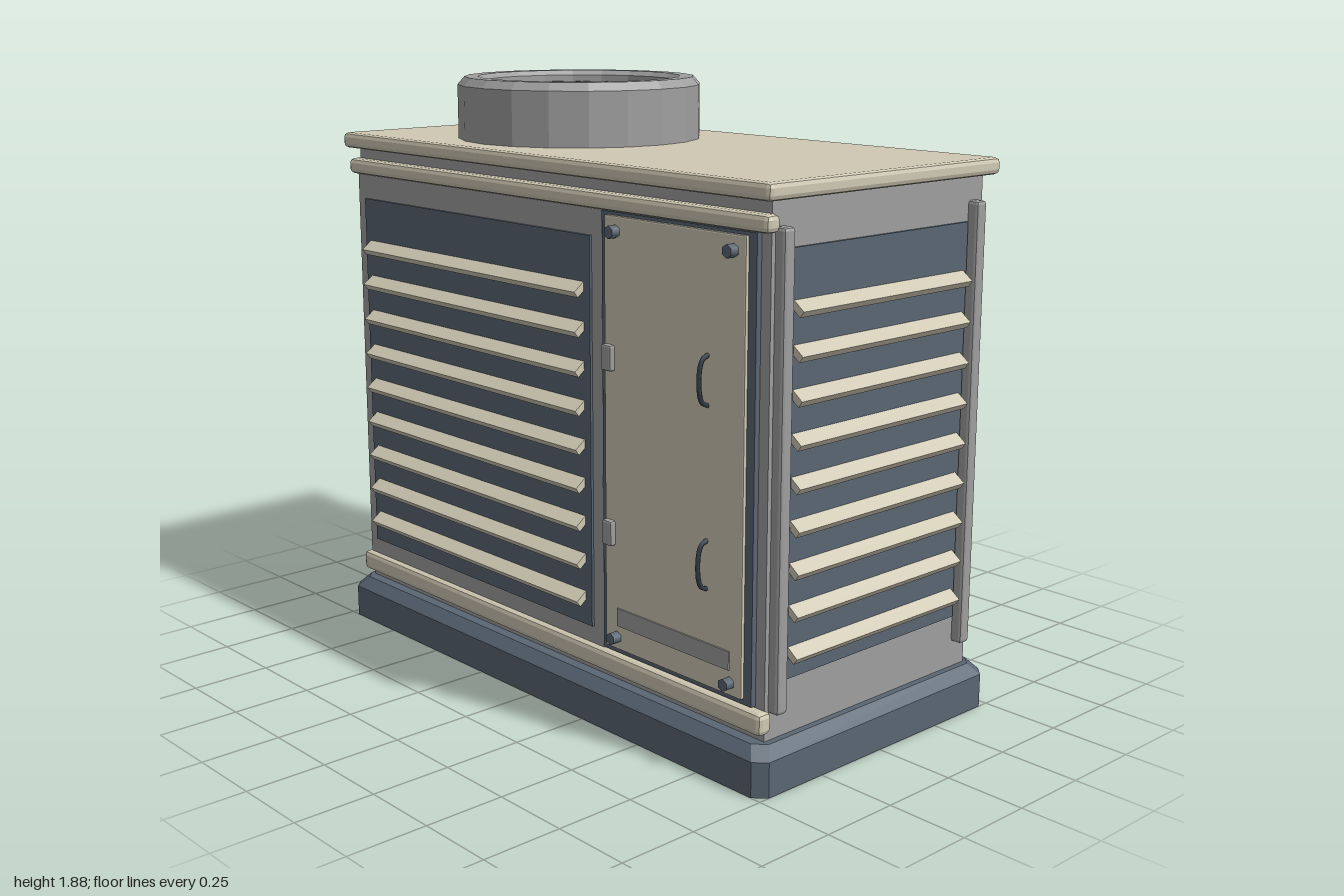
import * as THREE from 'three';
import { RoundedBoxGeometry } from 'three/addons/geometries/RoundedBoxGeometry.js';

const mat = (name, color) => Object.assign(new THREE.MeshStandardMaterial({ color }), { name });

export function createModel() {
  const model = new THREE.Group();
  model.name = 'outdoorCoolingUnit';
  const cream = mat('cream paint', 0xcfc8b3);
  const grey = mat('grey metal', 0x9f9f9f);
  const slate = mat('slate metal', 0x596673);
  const dark = mat('dark steel', 0x363e47);

  const add = (name, geo, material, x = 0, y = 0, z = 0, parent = model) => {
    const m = new THREE.Mesh(geo, material);
    m.name = name;
    m.position.set(x, y, z);
    parent.add(m);
    return m;
  };
  // Box given by its limits, with optional chamfered edges
  const box = (name, material, [x0, x1], [y0, y1], [z0, z1], chamfer = 0, parent = model) => {
    const s = [x1 - x0, y1 - y0, z1 - z0];
    let geo = new THREE.BoxGeometry(...s);
    if (chamfer) {
      geo = new RoundedBoxGeometry(...s, 1, chamfer);
      if (geo.index) geo = geo.toNonIndexed();
      geo.computeVertexNormals();
    }
    return add(name, geo, material, (x0 + x1) / 2, (y0 + y1) / 2, (z0 + z1) / 2, parent);
  };

  // Hollow plinth: a profile of [inset, height] swept around a cut-corner rectangle
  const plinth = (hx, hz, cut, profile) => {
    const ring = ([inset, y]) => {
      const x = hx - inset, z = hz - inset, c = cut;
      return [[c - x, z], [x - c, z], [x, z - c], [x, c - z], [x - c, -z], [c - x, -z], [-x, c - z], [-x, z - c]]
        .map(([px, pz]) => [px, y, pz]);
    };
    const rings = profile.map(ring), pos = [];
    for (let j = 0; j < rings.length - 1; j++) {
      for (let i = 0; i < 8; i++) {
        const k = (i + 1) % 8;
        const a = rings[j][i], b = rings[j][k], c = rings[j + 1][k], d = rings[j + 1][i];
        pos.push(...a, ...b, ...c, ...a, ...c, ...d);
      }
    }
    const geo = new THREE.BufferGeometry();
    geo.setAttribute('position', new THREE.Float32BufferAttribute(pos, 3));
    geo.computeVertexNormals();
    return geo;
  };
  add('base', plinth(1, 0.5, 0.035, [[0.11, 0.14], [0.11, 0.03], [0.08, 0], [0, 0], [0, 0.105], [0.03, 0.14], [0.11, 0.14]]), slate);

  // Cabinet, roof and front rails
  box('cabinet', grey, [-0.95, 0.95], [0.135, 1.64], [-0.44, 0.435]);
  box('roof', cream, [-0.985, 0.985], [1.635, 1.685], [-0.48, 0.48], 0.015);
  box('lowerRail', cream, [-0.965, 0.965], [0.165, 0.23], [0.42, 0.47], 0.015);
  box('upperRail', cream, [-0.97, 0.97], [1.55, 1.6], [0.42, 0.47], 0.015);
  for (const sx of [-1, 1]) for (const sz of [-1, 1]) {
    const x = sx * 0.962, z = sz * 0.4;
    box('cornerPost', grey, [x - 0.023, x + 0.023], [0.22, 1.565], [z - 0.021, z + 0.021], 0.01);
  }

  // Slanted louver blades on a dark panel, facing +z, centred on x
  const louvers = (name, width, bladeWidth, y0, y1, first, last) => {
    const g = new THREE.Group();
    g.name = name;
    box('louverPanel', slate, [-width / 2, width / 2], [y0, y1], [-0.01, 0.008], 0, g);
    for (let i = 0; i < 9; i++) {
      const y = first + (last - first) * i / 8;
      const blade = add('louverBlade', new THREE.BoxGeometry(bladeWidth, 0.022, 0.05), cream, 0, y, 0.017, g);
      blade.rotation.x = 0.65;
    }
    model.add(g);
    return g;
  };
  box('frontFrame', grey, [-0.945, 0.295], [0.23, 1.55], [0.43, 0.448]);
  louvers('frontLouvers', 1.15, 1.095, 0.285, 1.47, 0.37, 1.312).position.set(-0.325, 0, 0.448);
  for (const s of [-1, 1]) {
    const side = louvers('sideLouvers', 0.74, 0.71, 0.305, 1.505, 0.378, 1.345);
    side.position.x = s * 0.95;
    side.rotation.y = s * Math.PI / 2;
  }

  // Access door with hinges, bolts, handles and a plain plate
  box('doorFrame', slate, [0.3, 0.915], [0.235, 1.548], [0.43, 0.452]);
  box('door', cream, [0.32, 0.885], [0.25, 1.538], [0.44, 0.462], 0.004);
  box('doorPlate', grey, [0.375, 0.84], [0.325, 0.38], [0.458, 0.467]);
  for (const y of [0.607, 1.13]) box('hinge', grey, [0.322, 0.364], [y - 0.038, y + 0.038], [0.45, 0.48], 0.006);
  for (const x of [0.37, 0.84]) for (const y of [0.288, 1.495]) {
    add('doorBolt', new THREE.CylinderGeometry(0.019, 0.019, 0.034, 6).rotateX(Math.PI / 2), slate, x, y, 0.473);
  }
  const handlePath = new THREE.CatmullRomCurve3(
    [[-0.07, 0], [-0.062, 0.02], [-0.035, 0.032], [0.035, 0.032], [0.062, 0.02], [0.07, 0]]
      .map(([y, z]) => new THREE.Vector3(0, y, z)));
  for (const y of [0.607, 1.13]) add('doorHandle', new THREE.TubeGeometry(handlePath, 16, 0.007, 6), dark, 0.745, y, 0.46);

  // Fan housing on the roof
  const fan = new THREE.Group();
  fan.name = 'fan';
  fan.position.set(-0.33, 0, 0);
  model.add(fan);
  const lathe = (pts) => {
    const g = new THREE.LatheGeometry(pts.map(p => new THREE.Vector2(...p)), 20).toNonIndexed();
    g.computeVertexNormals();
    return g;
  };
  add('fanHousing', lathe([[0.39, 1.68], [0.39, 1.855], [0.368, 1.88], [0.325, 1.88], [0.31, 1.865], [0.31, 1.69]]), grey, 0, 0, 0, fan);
  add('fanFloor', new THREE.CylinderGeometry(0.315, 0.315, 0.02, 20), slate, 0, 1.69, 0, fan);
  add('fanHub', new THREE.CylinderGeometry(0.05, 0.06, 0.08, 8), grey, 0, 1.74, 0, fan);
  for (let i = 0; i < 3; i++) {
    const blade = add('fanBlade', new THREE.BoxGeometry(0.54, 0.012, 0.06), grey, 0, 1.74, 0, fan);
    blade.rotation.y = i * Math.PI / 3;
  }
  for (let i = -4; i <= 4; i++) {
    const z = i * 0.066, half = Math.sqrt(0.312 ** 2 - z * z);
    box('grilleBar', slate, [-half, half], [1.815, 1.845], [z - 0.012, z + 0.012], 0, fan);
  }

  // Service pipe on the back, with two clamps
  const pipe = new THREE.Shape([
    [0.68, 0.13], [0.745, 0.13], [0.745, 0.32], [0.685, 0.365], [0.355, 0.365], [0.293, 0.425], [0.293, 0.88],
    [0.228, 0.88], [0.228, 0.395], [0.325, 0.305], [0.66, 0.305], [0.68, 0.29],
  ].map(p => new THREE.Vector2(...p)));
  add('servicePipe', new THREE.ExtrudeGeometry(pipe, { depth: 0.05, bevelEnabled: false }), slate, 0, 0, -0.49);
  for (const y of [0.455, 0.79]) {
    box('pipeClamp', slate, [0.205, 0.315], [y - 0.014, y + 0.014], [-0.475, -0.435]);
    for (const x of [0.205, 0.315]) {
      add('clampBolt', new THREE.CylinderGeometry(0.02, 0.02, 0.04, 8).rotateX(Math.PI / 2), slate, x, y, -0.46);
    }
  }
  return model;
}
